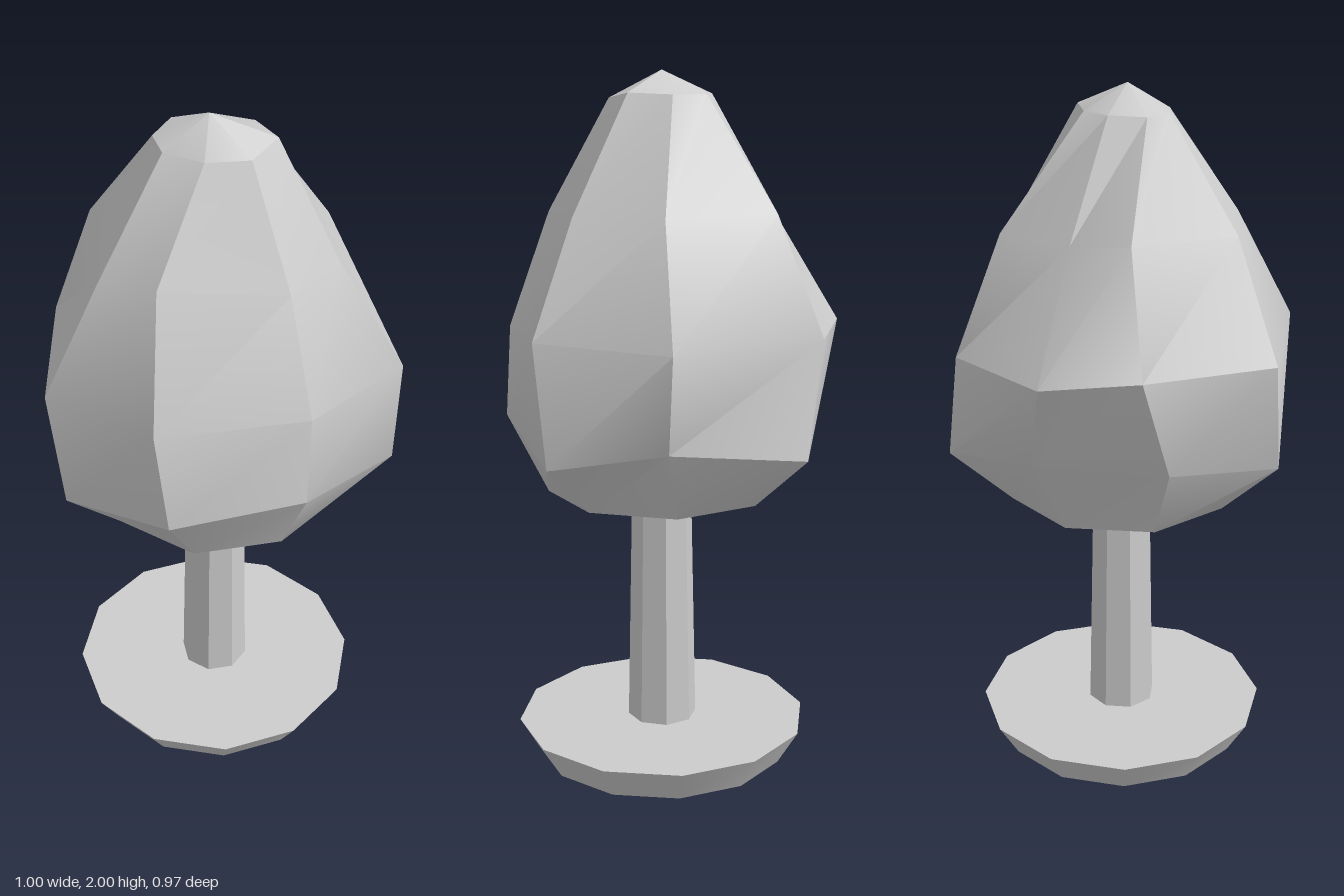
import * as THREE from 'three';
import { toCreasedNormals } from 'three/addons/utils/BufferGeometryUtils.js';

const CX = 0.01, CZ = 0.04; // axis of the trunk and base
const SIDES = 8;

// Joins rings of [x, y, z] points, listed bottom to top, and closes both ends
function loft(bottom, rings, top) {
  const pos = [];
  const tri = (a, b, c) => pos.push(...a, ...b, ...c);
  for (let j = 0; j < SIDES; j++) {
    const k = (j + 1) % SIDES;
    tri(bottom, rings[0][k], rings[0][j]);
    for (let i = 0; i < rings.length - 1; i++) {
      const lo = rings[i], hi = rings[i + 1];
      tri(lo[j], lo[k], hi[k]);
      tri(lo[j], hi[k], hi[j]);
    }
    const last = rings[rings.length - 1];
    tri(last[j], last[k], top);
  }
  const geo = new THREE.BufferGeometry();
  geo.setAttribute('position', new THREE.Float32BufferAttribute(pos, 3));
  return toCreasedNormals(geo, 0.52);
}

export function createModel() {
  const group = new THREE.Group();
  const grey = new THREE.MeshStandardMaterial({ color: 0xcccccc });
  grey.name = 'plainGrey';

  const add = (name, geo) => {
    const mesh = new THREE.Mesh(geo, grey);
    mesh.name = name;
    group.add(mesh);
    return mesh;
  };

  // Flared round base
  add('base', toCreasedNormals(new THREE.CylinderGeometry(0.43, 0.37, 0.1, 12), 0.6))
    .position.set(CX, 0.05, CZ);

  // Slightly tapered eight-sided trunk
  add('trunk', toCreasedNormals(new THREE.CylinderGeometry(0.088, 0.102, 0.69, SIDES), 0.5))
    .position.set(CX, 0.435, CZ);

  // Irregular crown: rings run right, back, left, front
  const underside = Array.from({ length: SIDES }, (_, j) => {
    const a = (j / SIDES) * Math.PI * 2;
    return [CX + 0.33 * Math.cos(a), 0.81, CZ - 0.33 * Math.sin(a)];
  });
  const lower = [
    [0.46, 1.02, 0.08], [0.38, 0.97, -0.31], [0.04, 1.04, -0.41], [-0.30, 1.02, -0.26],
    [-0.49, 0.97, 0.04], [-0.36, 1.03, 0.36], [0, 1.04, 0.485], [0.38, 0.97, 0.395],
  ];
  const widest = [
    [0.50, 1.29, 0.075], [0.305, 1.29, -0.365], [-0.03, 1.29, -0.485], [-0.27, 1.31, -0.36],
    [-0.50, 1.29, 0.02 - 0.04], [-0.385, 1.33, 0.335], [0.015, 1.30, 0.47], [0.36, 1.31, 0.425],
  ];
  const upper = [
    [0.36, 1.62, 0.075], [0.225, 1.62, -0.25], [-0.01, 1.62, -0.28], [-0.19, 1.64, -0.275],
    [-0.35, 1.62, 0.03], [-0.275, 1.65, 0.19], [0.02, 1.62, 0.355], [0.22, 1.62, 0.305],
  ];
  const tip = [
    [0.14, 1.935, 0.025], [0.06, 1.935, -0.08], [-0.03, 1.935, -0.11], [-0.12, 1.93, -0.06],
    [-0.145, 1.925, 0.025], [-0.09, 1.925, 0.13], [0.015, 1.925, 0.185], [0.125, 1.94, 0.145],
  ];
  add('crown', loft([CX, 0.75, CZ], [underside, lower, widest, upper, tip], [-0.01, 2, 0.035]));

  return group;
}
